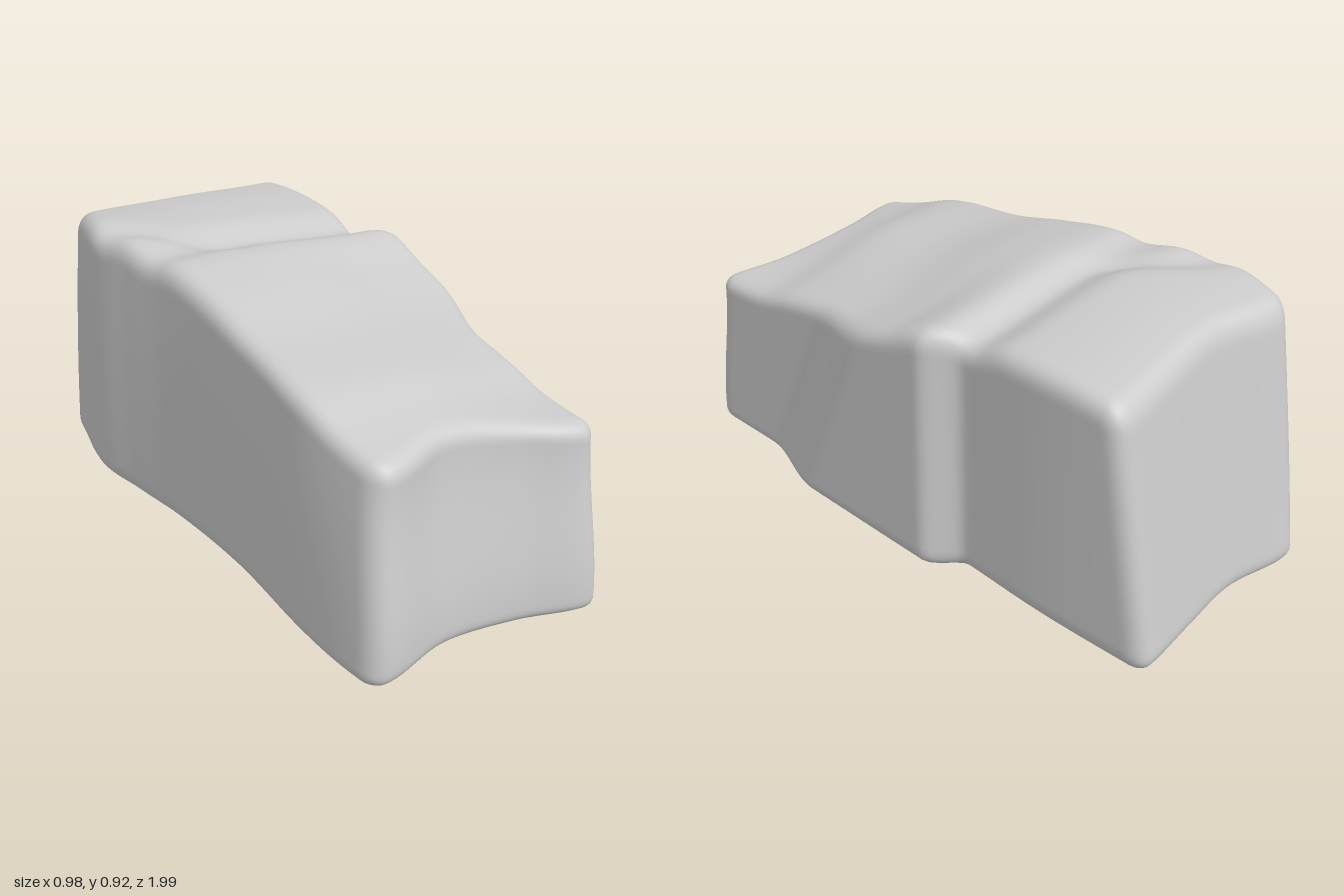
import * as THREE from 'three';
import { mergeVertices } from 'three/addons/utils/BufferGeometryUtils.js';

const { lerp, smoothstep, clamp } = THREE.MathUtils;

// Smooth curve through [position, value] pairs
function profile(points) {
  const curve = new THREE.CubicInterpolant(points.map(p => p[0]), points.map(p => p[1]), 1);
  return s => curve.evaluate(clamp(s, points[0][0], points[points.length - 1][0]))[0];
}

// Plan outline of the two long sides, along z
const sideNeg = profile([[-1, -0.4], [-0.84, -0.44], [-0.6, -0.49], [-0.4, -0.465], [-0.2, -0.44],
  [0.2, -0.425], [0.6, -0.45], [0.8, -0.45], [1, -0.43]]);
const sidePos = profile([[-1, 0.395], [-0.6, 0.41], [-0.3, 0.4]]);
// Height of the top along its crest
const crest = profile([[-0.88, 0.885], [-0.8, 0.91], [-0.45, 0.93], [-0.3, 0.905], [-0.2, 0.92], [0, 0.89],
  [0.2, 0.845], [0.55, 0.785], [0.7, 0.73], [0.9, 0.68], [1, 0.665]]);
// Fall of the top towards +x, along z
const fall = profile([[-0.9, 0.03], [-0.4, 0.05], [-0.28, 0.05], [-0.18, 0.05], [0, 0.085],
  [0.3, 0.1], [0.6, 0.1], [0.9, 0.05]]);
// Wavy ends, across x
const frontEnd = profile([[-0.44, 0.95], [-0.36, 0.96], [-0.1, 0.9], [0.15, 0.935], [0.36, 1], [0.44, 0.995]]);
const backEnd = profile([[-0.44, -0.975], [-0.36, -0.99], [-0.1, -0.95], [0.15, -0.975], [0.36, -1], [0.44, -1]]);

// Shape a point of the unit block (u, t in -1..1, v in 0..1)
function shape(u, v, t, out) {
  const x0 = u * 0.42;
  const front = frontEnd(x0) - 0.08 * smoothstep(v, 0.05, 1);
  const back = backEnd(x0) + 0.14 * v;
  const z = lerp(back, front, (t + 1) / 2);

  // -x side leans in towards the top, more at the front
  const lean = 0.03 * v * v + 0.05 * v * smoothstep(z, 0.4, 0.95);
  const xNeg = sideNeg(z) + lean;
  // +x side steps out sharply, then fades along a slanted ramp
  const rampZ = lerp(0.62, 0.3, v);
  const step = smoothstep(z, -0.28, -0.16) * (1 - smoothstep(z, rampZ - 0.24, rampZ + 0.1));
  const xPos = sidePos(z) + 0.09 * step - 0.01 * v * step;
  const x = lerp(xNeg, xPos, (u + 1) / 2);

  // Top surface: crest, fall to +x, a diagonal crease and a shallow dish
  const crease = -0.3 - 0.25 * smoothstep(-x, 0.1, 0.42);
  const top = crest(z) - fall(z) * smoothstep(x, -0.15, 0.42)
    - 0.02 * Math.exp(-(((z - crease) / 0.07) ** 2))
    - 0.02 * Math.exp(-(((x + 0.1) / 0.25) ** 2 + ((z - 0.35) / 0.22) ** 2));
  const base = 0.01 + 0.01 * smoothstep(z, -0.5, 0.5);
  out.set(x, lerp(base, top, v), z);
}

export function createModel() {
  const group = new THREE.Group();
  const half = new THREE.Vector3(0.44, 0.42, 0.97);
  const radius = 0.06;
  let geometry = new THREE.BoxGeometry(half.x * 2, half.y * 2, half.z * 2, 44, 44, 100);
  geometry.deleteAttribute('normal');
  geometry.deleteAttribute('uv');
  geometry = mergeVertices(geometry);

  // Round the edges of the block, then warp it
  const inner = half.clone().subScalar(radius);
  const lower = inner.clone().negate();
  const position = geometry.attributes.position;
  const p = new THREE.Vector3();
  const core = new THREE.Vector3();
  for (let i = 0; i < position.count; i++) {
    p.fromBufferAttribute(position, i);
    core.copy(p).clamp(lower, inner);
    p.sub(core).setLength(radius).add(core).divide(half);
    shape(p.x, (p.y + 1) / 2, p.z, p);
    position.setXYZ(i, p.x, p.y, p.z);
  }
  geometry.computeVertexNormals();

  const rock = new THREE.Mesh(geometry, new THREE.MeshStandardMaterial({ color: 0xcccccc }));
  rock.name = 'rockBlock';
  group.add(rock);
  return group;
}
